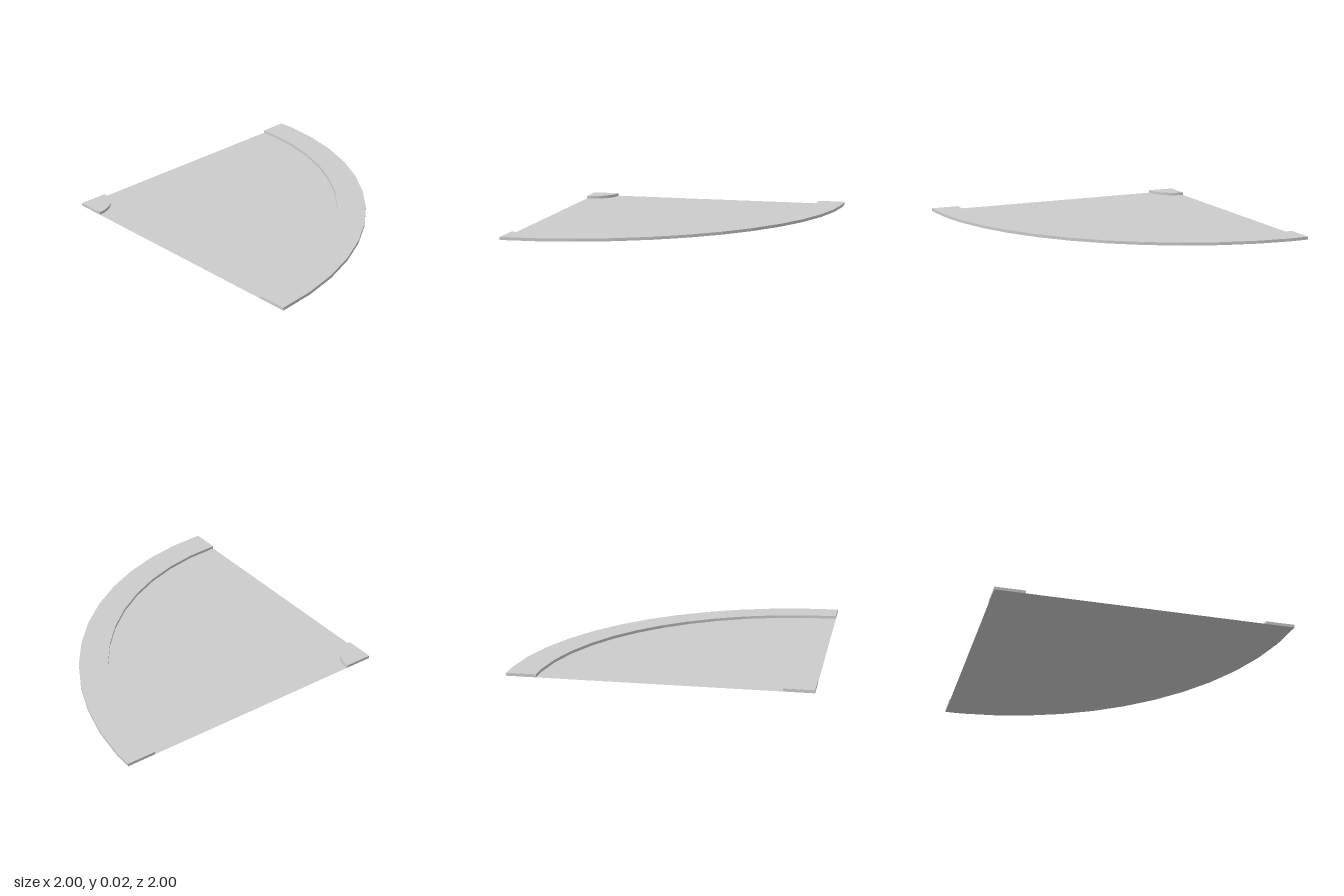
import * as THREE from 'three';

const STEP = THREE.MathUtils.degToRad(7.2); // facet angle of a 50-sided circle
const KERB_HEIGHT = 0.02;

// Points of a faceted quarter arc about the corner (-1, -1), from +z round to +x
function arc(radius) {
  const points = [];
  for (let i = 0; i <= 12; i++) {
    points.push(new THREE.Vector2(-1 + radius * Math.sin(i * STEP), -1 + radius * Math.cos(i * STEP)));
  }
  // the last facet is cut in half by the straight edge
  points.push(new THREE.Vector2(-1 + radius * Math.cos(STEP / 2), -1));
  return points;
}

// Sector between two radii; an inner radius of 0 reaches the corner
function sector(inner, outer) {
  const inside = inner > 0 ? arc(inner).reverse() : [new THREE.Vector2(-1, -1)];
  return new THREE.Shape([...arc(outer), ...inside]);
}

export function createModel() {
  const group = new THREE.Group();
  const add = (name, geometry, material) => {
    geometry.rotateX(Math.PI / 2); // shape y becomes z, depth goes down
    const mesh = new THREE.Mesh(geometry, material);
    mesh.name = name;
    group.add(mesh);
    return mesh;
  };
  const solid = new THREE.MeshStandardMaterial({ color: 0xcccccc });
  const sheet = new THREE.MeshStandardMaterial({ color: 0xcccccc, side: THREE.DoubleSide });

  // Flat road surface on the ground
  add('roadSurface', new THREE.ShapeGeometry(sector(0.2, 1.8)), sheet);

  // Raised pavements along the inside and outside of the bend
  for (const [name, inner, outer] of [['innerPavement', 0, 0.2], ['outerPavement', 1.8, 2]]) {
    const geometry = new THREE.ExtrudeGeometry(sector(inner, outer), { depth: KERB_HEIGHT, bevelEnabled: false });
    add(name, geometry, solid).position.y = KERB_HEIGHT;
  }
  return group;
}
